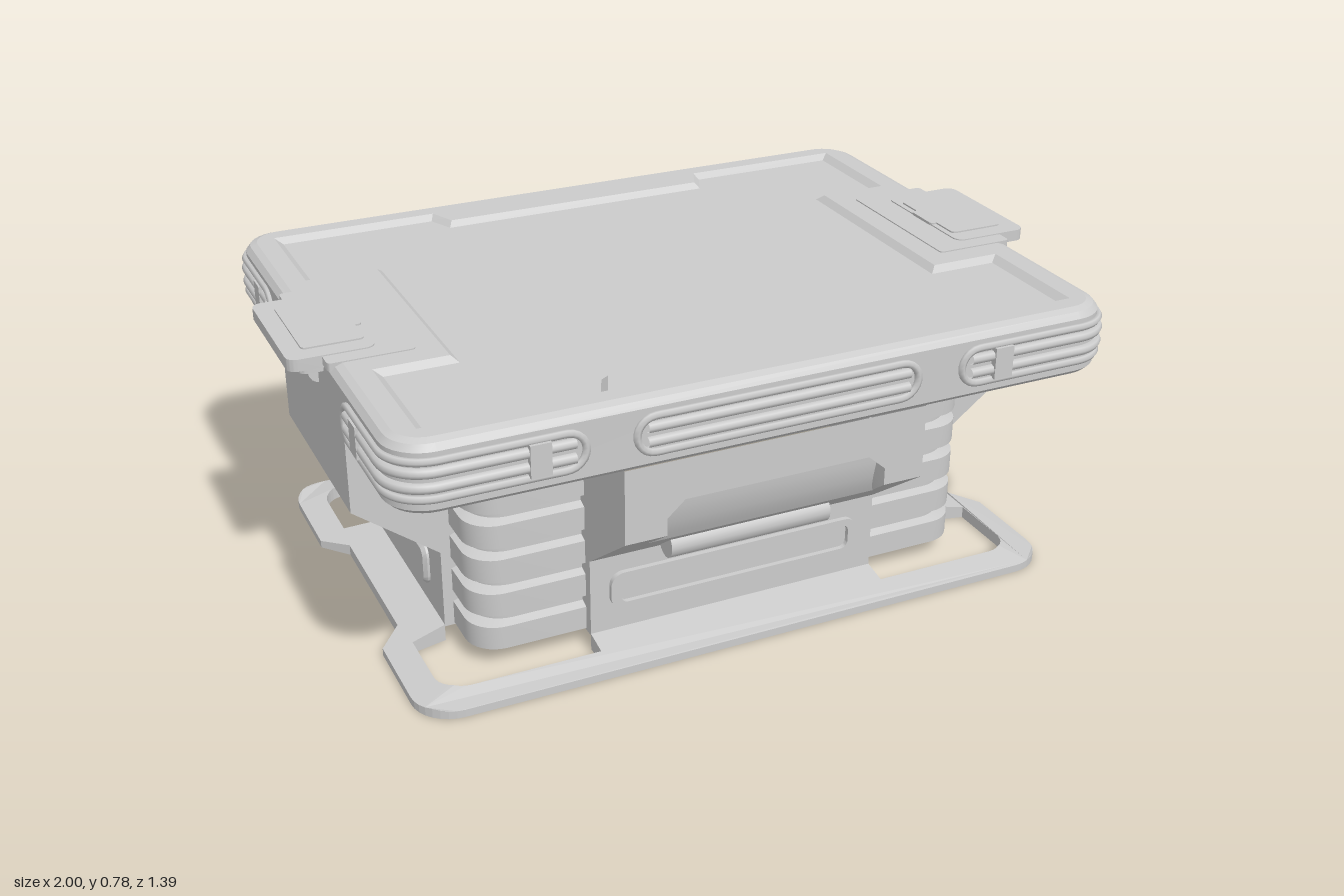
import * as THREE from 'three';
import { toCreasedNormals } from 'three/addons/utils/BufferGeometryUtils.js';

const material = new THREE.MeshStandardMaterial({ color: 0xcccccc, side: THREE.DoubleSide });

function add(parent, name, geometry) {
  const mesh = new THREE.Mesh(geometry, material);
  mesh.name = name;
  parent.add(mesh);
  return mesh;
}

function group(parent, name) {
  const g = new THREE.Group();
  g.name = name;
  parent.add(g);
  return g;
}

// Outline helpers: mirror a half or a quarter outline into a full one
const sym = half => [...half, ...half.map(([x, y]) => [-x, y]).reverse()];
function quad(q) {
  const half = [...q, ...q.map(([x, z]) => [x, -z]).reverse()];
  return [...half, ...half.map(([x, z]) => [-x, -z])];
}
function arc(hx, hz, r, n = 8) {
  return Array.from({ length: n + 1 }, (_, i) => {
    const a = Math.PI / 2 * (1 - i / n);
    return [hx - r + r * Math.cos(a), hz - r + r * Math.sin(a)];
  });
}
const roundRect = (hx, hz, r) => quad(arc(hx, hz, r));

function shape(points, hole) {
  const s = new THREE.Shape(points.map(p => new THREE.Vector2(...p)));
  if (hole) s.holes.push(new THREE.Path(hole.map(p => new THREE.Vector2(...p))));
  return s;
}

// Skin across cross-sections given as rows of [x, y, z]
function loft(rows, closed = false) {
  const n = rows[0].length, index = [];
  for (let j = 0; j < rows.length - 1; j++) {
    for (let i = 0; i < (closed ? n : n - 1); i++) {
      const a = j * n + i, b = j * n + (i + 1) % n;
      index.push(a, b, b + n, a, b + n, a + n);
    }
  }
  const g = new THREE.BufferGeometry();
  g.setAttribute('position', new THREE.Float32BufferAttribute(rows.flat(2), 3));
  g.setIndex(index);
  return toCreasedNormals(g, 0.5);
}

// Upright face whose depth follows a rule in y
function face(points, depthAt) {
  const g = new THREE.ShapeGeometry(shape(points));
  const p = g.attributes.position;
  for (let i = 0; i < p.count; i++) p.setZ(i, depthAt(p.getY(i)));
  g.computeVertexNormals();
  return g;
}

const flat = (points, y, hole) =>
  new THREE.ShapeGeometry(shape(points, hole)).rotateX(Math.PI / 2).translate(0, y, 0);

function extrude(points, depth, hole, bevel = 0) {
  return toCreasedNormals(new THREE.ExtrudeGeometry(shape(points, hole), {
    depth, bevelEnabled: bevel > 0, bevelSize: bevel, bevelOffset: -bevel,
    bevelThickness: bevel, bevelSegments: 1
  }), 0.5);
}
const slab = (points, top, depth, hole) =>
  extrude(points, depth, hole).rotateX(Math.PI / 2).translate(0, top, 0);

// Wall with an overhanging bracket and a recess cut into it
function facade(g, w, d0, d1, slope, upper, rows, inner) {
  const outer = y => y <= 0.25 ? d0 : y >= 0.41 ? d1 : d0 + (d1 - d0) * (y - 0.25) / 0.16;
  add(g, 'lowerPanel', face(sym([[w, 0.04], [w, 0.25]]), outer));
  add(g, 'bracketSlope', face(sym(slope), outer));
  add(g, 'bracketFace', face(sym(upper), outer));
  const back = d0 - 0.07;
  const cheek = [[back, 0.04], [d0, 0.04], [d0, 0.25], [d1, 0.41], [d1, 0.6], [back, 0.6]];
  for (const s of [-1, 1]) {
    add(g, 'bracketCheek', new THREE.ShapeGeometry(shape(cheek)).rotateY(-Math.PI / 2).translate(s * w, 0, 0));
  }
  add(g, 'recessBack', loft(rows.map(([x, y]) => [[-x, y, inner(y)], [x, y, inner(y)]])));
  add(g, 'recessRim', loft(sym(rows.slice().reverse()).map(([x, y]) => [[x, y, outer(y)], [x, y, inner(y)]])));
}

// Framed pair of rails laid along a path on the lid edge; at(u) gives [x, z]
function railPod(parent, at, length) {
  const g = group(parent, 'railPod');
  const point = (u, y) => { const [x, z] = at(u); return new THREE.Vector3(x, y, z); };
  const r = 0.045, cy = 0.68, frame = [], n = 20;
  for (let i = 0; i < n; i++) frame.push(point(r + (length - 2 * r) * i / n, cy + r));
  for (let i = 0; i < 8; i++) {
    const a = Math.PI / 2 - Math.PI * i / 8;
    frame.push(point(length - r + r * Math.cos(a), cy + r * Math.sin(a)));
  }
  for (let i = 0; i < n; i++) frame.push(point(length - r - (length - 2 * r) * i / n, cy - r));
  for (let i = 0; i < 8; i++) {
    const a = -Math.PI / 2 - Math.PI * i / 8;
    frame.push(point(r + r * Math.cos(a), cy + r * Math.sin(a)));
  }
  add(g, 'podFrame', new THREE.TubeGeometry(new THREE.CatmullRomCurve3(frame, true), 120, 0.01, 6, true));
  for (const y of [0.662, 0.698]) {
    const rail = Array.from({ length: 25 }, (_, i) => point(0.025 + (length - 0.05) * i / 24, y));
    add(g, 'rail', new THREE.TubeGeometry(new THREE.CatmullRomCurve3(rail), 48, 0.013, 8));
  }
}

export function createModel() {
  const model = new THREE.Group();
  model.name = 'storageTable';

  // Base flange: open at the corners, rising gently towards the body
  const base = slab(
    quad([...arc(0.86, 0.6, 0.1), [0.86, 0.28], [0.8, 0.21]]), 0.02, 0.02,
    quad([[0.39, 0.467], [0.39, 0.53], ...arc(0.79, 0.53, 0.07), [0.79, 0.3], [0.7, 0.28]]));
  const bp = base.attributes.position;
  for (let i = 0; i < bp.count; i++) {
    if (bp.getY(i) < 0.01) continue;
    const t = Math.min((0.86 - Math.abs(bp.getX(i))) / 0.16, 1);
    const s = Math.min((0.6 - Math.abs(bp.getZ(i))) / 0.13, 1);
    bp.setY(i, 0.02 + 0.025 * Math.max(0, Math.min(s, t)));
  }
  base.computeVertexNormals();
  add(model, 'baseFlange', base);

  // Front and back walls: grip recess, bar and framed slot
  for (const turn of [0, Math.PI]) {
    const g = group(model, turn ? 'backWall' : 'frontWall');
    g.rotation.y = turn;
    facade(g, 0.39, 0.467, 0.68,
      [[0.39, 0.25], [0.39, 0.41], [0.285, 0.41], [0.29, 0.38], [0.3, 0.355]],
      [[0.24, 0.495], [0.285, 0.455], [0.285, 0.41], [0.39, 0.41], [0.39, 0.6]],
      [[0.24, 0.495], [0.285, 0.455], [0.285, 0.41], [0.29, 0.38], [0.3, 0.355]],
      y => 0.645 - 0.038 * ((0.495 - y) / 0.14) ** 2);
    add(g, 'gripBar', new THREE.CylinderGeometry(0.037, 0.037, 0.43, 16).rotateZ(Math.PI / 2).translate(0, 0.287, 0.52));
    add(g, 'slotFrame', extrude(roundRect(0.34, 0.05, 0.035), 0.013, roundRect(0.315, 0.034, 0.02)).translate(0, 0.155, 0.467));
    railPod(g, u => [u - 0.36, 0.682], 0.72);
  }

  // Side walls: hose niche, raised pad and lid handle
  for (const turn of [1, -1]) {
    const g = group(model, turn > 0 ? 'leftWall' : 'rightWall');
    g.rotation.y = turn * Math.PI / 2;
    const niche = [[0.1, 0.39], [0.12, 0.37], [0.12, 0.25]];
    facade(g, 0.28, 0.7, 0.91, [...niche, [0.28, 0.25], [0.28, 0.41]],
      [[0.28, 0.41], [0.28, 0.6]], niche, () => 0.7);
    for (let i = 0; i < 4; i++) {
      const x = (i - 1.5) * 0.05, drop = i % 3 ? 0.015 : 0;
      const curve = new THREE.CatmullRomCurve3([[0.69, 0.35], [0.75, 0.345 - drop], [0.795, 0.355 - drop], [0.815, 0.395]]
        .map(([z, y]) => new THREE.Vector3(x, y, z)));
      add(g, 'hose', new THREE.TubeGeometry(curve, 16, 0.018, 10));
    }
    add(g, 'sidePad', extrude(roundRect(0.183, 0.055, 0.03), 0.006, null, 0.009).translate(0, 0.155, 0.7));

    const h = group(g, 'lidHandle');
    add(h, 'mountPlate', slab(roundRect(0.222, 0.105, 0.01), 0.77, 0.02).translate(0, 0, 0.815));
    add(h, 'handlePlate', slab(roundRect(0.178, 0.105, 0.025), 0.773, 0.03).translate(0, 0, 0.895));
    add(h, 'handleInset', slab(roundRect(0.13, 0.075, 0.012), 0.777, 0.01).translate(0, 0, 0.88));
    add(h, 'thumbTab', slab(roundRect(0.05, 0.012, 0.01), 0.777, 0.01).translate(0, 0, 0.8));
    add(h, 'handleStep', slab(roundRect(0.16, 0.06, 0.02), 0.743, 0.018).translate(0, 0, 0.91));
    add(h, 'handleBarrel', new THREE.CylinderGeometry(0.032, 0.032, 0.21, 16).rotateZ(Math.PI / 2).translate(0, 0.703, 0.908));
  }

  // Corners: ribbed columns, wrapping rail pods and clips
  for (const sx of [-1, 1]) for (const sz of [-1, 1]) {
    const g = group(model, 'corner');
    const ring = (inset, y) =>
      [[0.385, 0.44 - inset], ...arc(0.675 - inset, 0.44 - inset, 0.08), [0.675 - inset, 0.275]]
        .map(([x, z]) => [sx * x, y, sz * z]);
    const rows = [];
    for (let i = 0; i < 6; i++) {
      const y = 0.04 + i * 0.093;
      rows.push(ring(0.022, y), ring(0, y + 0.006), ring(0, y + 0.067), ring(0.022, y + 0.075));
    }
    rows.push(ring(0.022, 0.6));
    add(g, 'ribbedColumn', loft(rows));

    const a = 0.335, r = 0.1, q = r * Math.PI / 2;
    railPod(g, u => {
      let x = 0.48 + u, z = 0.682;
      if (u > a + q) { x = 0.917; z = 0.582 - (u - a - q); }
      else if (u > a) {
        const t = (u - a) / r;
        x = 0.817 + r * Math.sin(t);
        z = 0.582 + r * Math.cos(t);
      }
      return [sx * x, sz * z];
    }, a + q + 0.26);
    add(g, 'frontClip', new THREE.BoxGeometry(0.05, 0.08, 0.03)).position.set(sx * 0.59, 0.68, sz * 0.682);
    add(g, 'sideClip', new THREE.BoxGeometry(0.03, 0.08, 0.05)).position.set(sx * 0.915, 0.68, sz * 0.432);
  }

  // Lid: bevelled edge, underside, rim and sunken top panel
  const lid = group(model, 'lid');
  const edge = [[0.595, 0.012], [0.607, 0], [0.745, 0], [0.76, 0.012], [0.767, 0.03]];
  add(lid, 'lidEdge', loft(edge.map(([y, d]) =>
    roundRect(0.915 - d, 0.68 - d, 0.1 - d).map(([x, z]) => [x, y, z])), true));
  add(lid, 'lidUnderside', flat(roundRect(0.903, 0.668, 0.088), 0.595, roundRect(0.62, 0.4, 0.06)));
  const rim = quad([[0.365, 0.535], [0.395, 0.605], [0.835, 0.605], [0.835, 0.285], [0.65, 0.285]]);
  const floor = quad([[0.375, 0.52], [0.405, 0.588], [0.815, 0.588], [0.815, 0.302], [0.633, 0.302]]);
  add(lid, 'lidRim', flat(roundRect(0.885, 0.65, 0.07), 0.767, rim));
  add(lid, 'panelBevel', loft([rim.map(([x, z]) => [x, 0.767, z]), floor.map(([x, z]) => [x, 0.752, z])], true));
  add(lid, 'topPanel', flat(floor, 0.752));
  return model;
}
